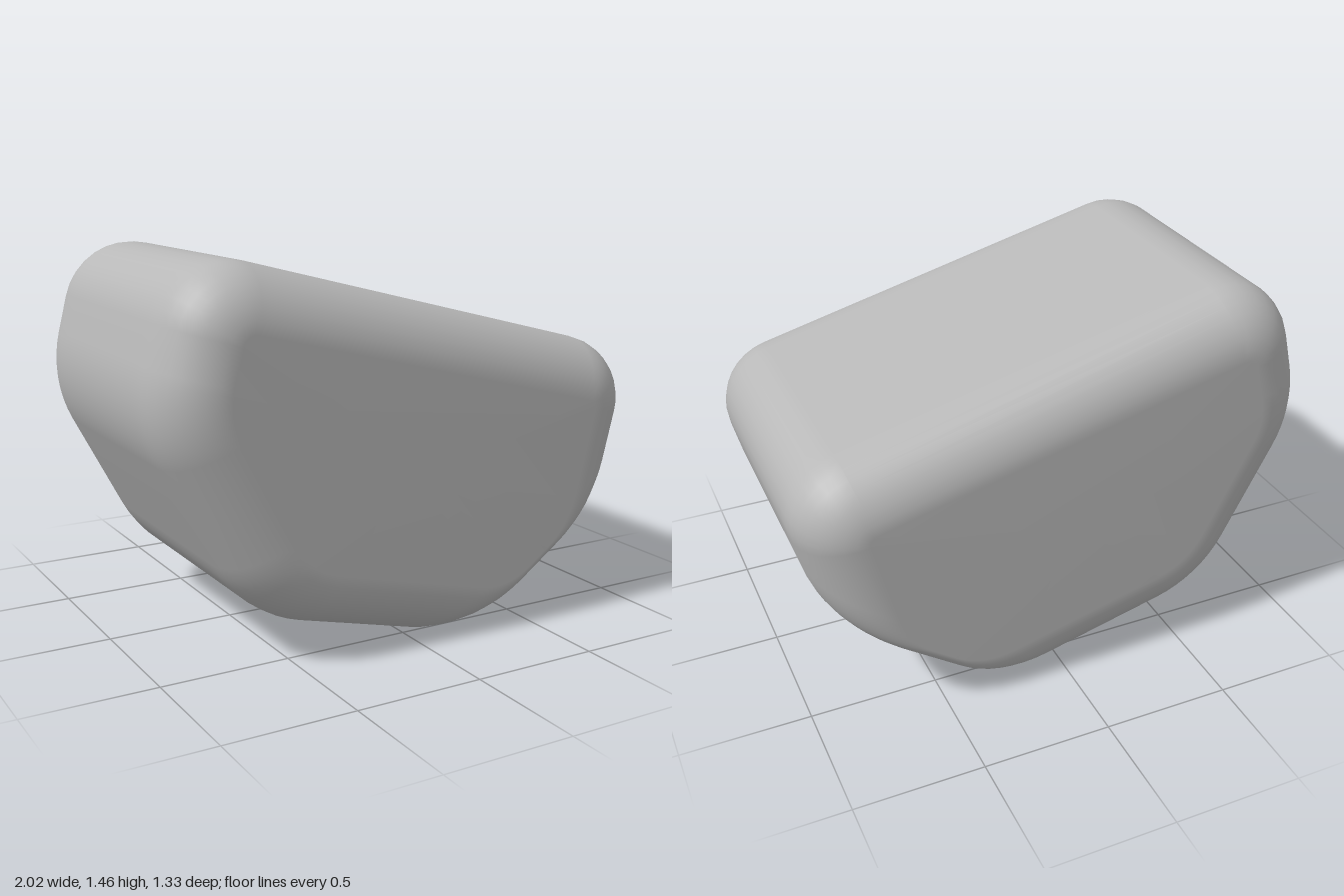
import * as THREE from 'three';
import { mergeVertices } from 'three/addons/utils/BufferGeometryUtils.js';

const DEG = Math.PI / 180;
const FLAT_Z = 0.437, FILLET = 0.23;      // half length of the straight sides, depth of the end rounding
const ARC = 8, STEPS = 12;
const HOLE = { v: 0.228, r: 0.122, floor: -0.6 };

// Sides of the cross-section: outward angle, distance from origin, inset of its end rounding
const SIDES = [
  { a: 90, d: 1.254, w: 0.23 },           // top
  { a: 180, d: 1.24, w: 0.23 },           // left
  { a: 221.55, d: 0.501, w: 0.23 },       // lower left
  { a: 270, d: -0.015, w: 0.23 },         // bottom
  { a: 319.83, d: 0.163, w: 0.08 },       // lower right, with the hole
  { a: 360, d: 0.775, w: 0.23 },          // right
];
const RADII = [0.27, 0.5, 0.5, 0.5, 0.55, 0.25]; // corner after each side

// Rounded cross-section, k = 0 full size, k = 1 fully inset
function section(k) {
  const pts = [];
  SIDES.forEach((s, i) => {
    const n = SIDES[(i + 1) % SIDES.length];
    const a0 = s.a * DEG, a1 = (n.a + (n.a < s.a ? 360 : 0)) * DEG;
    const r = RADII[i] - 0.22 * k;
    const d0 = s.d - s.w * k - r, d1 = n.d - n.w * k - r;
    const det = Math.sin(a1 - a0);
    const cx = (d0 * Math.sin(a1) - d1 * Math.sin(a0)) / det;
    const cy = (d1 * Math.cos(a0) - d0 * Math.cos(a1)) / det;
    for (let j = 0; j <= ARC; j++) {
      const a = a0 + (a1 - a0) * j / ARC;
      pts.push([cx + r * Math.cos(a), cy + r * Math.sin(a)]);
    }
  });
  return pts;
}

function makeGeometry(pos, idx) {
  let g = new THREE.BufferGeometry();
  g.setAttribute('position', new THREE.Float32BufferAttribute(pos, 3));
  g.setIndex(idx);
  g = mergeVertices(g, 1e-4);
  g.computeVertexNormals();
  return g;
}

// Joins closed rings of points, listed from the inside of the opening outwards
function joinRings(rings, pos, idx) {
  const base = pos.length / 3, n = rings[0].length;
  rings.forEach(r => r.forEach(p => pos.push(...p)));
  for (let i = 0; i < rings.length - 1; i++) {
    for (let k = 0; k < n; k++) {
      const a = base + i * n + k, b = base + i * n + (k + 1) % n;
      idx.push(a, a + n, b + n, a, b + n, b);
    }
  }
}

export function createModel() {
  const group = new THREE.Group();
  const grey = new THREE.MeshStandardMaterial({ color: 0xb8b8b8 });
  grey.name = 'grey';

  // Stations along z: rounded back, straight middle, rounded front
  const stations = [];
  for (let i = 0; i <= ARC; i++) {
    const t = (1 - i / ARC) * Math.PI / 2;
    stations.push({ z: -FLAT_Z - FILLET * Math.sin(t), k: 1 - Math.cos(t) });
  }
  for (let i = 1; i < STEPS; i++) stations.push({ z: -FLAT_Z + 2 * FLAT_Z * i / STEPS, k: 0 });
  for (let i = 0; i <= ARC; i++) {
    const t = i / ARC * Math.PI / 2;
    stations.push({ z: FLAT_Z + FILLET * Math.sin(t), k: 1 - Math.cos(t) });
  }

  // Body skin, leaving a window in the lower right side for the hole
  const pos = [], idx = [];
  const n = SIDES.length * (ARC + 1);
  const winA = 3 * (ARC + 1) + 3, winB = 4 * (ARC + 1);
  stations.forEach(s => section(s.k).forEach(p => pos.push(p[0], p[1], s.z)));
  for (let i = 0; i < stations.length - 1; i++) {
    for (let j = 0; j < n; j++) {
      if (i >= ARC && i < ARC + STEPS && j >= winA && j < winB) continue;
      const a = i * n + j, b = i * n + (j + 1) % n;
      idx.push(a, b, b + n, a, b + n, a + n);
    }
  }
  // Flat ends
  const last = (stations.length - 1) * n, mid = pos.length / 3;
  pos.push(-0.2, 0.65, stations[0].z, -0.2, 0.65, stations[stations.length - 1].z);
  for (let j = 0; j < n; j++) {
    const j1 = (j + 1) % n;
    idx.push(mid, j1, j, mid + 1, last + j, last + j1);
  }

  // Panel that fills the window around the round hole
  const profile = section(0).slice(winA, winB + 1);
  const surfaceU = v => {
    let i = 0;
    while (i < profile.length - 2 && v > profile[i + 1][1]) i++;
    const [p, q] = [profile[i], profile[i + 1]];
    return p[0] + (q[0] - p[0]) * (v - p[1]) / (q[1] - p[1]);
  };
  const vs = profile.map(p => p[1]), vTop = vs[vs.length - 1];
  const rim = vs.map(v => [-FLAT_Z, v]);
  for (let i = 1; i < STEPS; i++) rim.push([-FLAT_Z + 2 * FLAT_Z * i / STEPS, vTop]);
  [...vs].reverse().forEach(v => rim.push([FLAT_Z, v]));
  for (let i = 1; i < STEPS; i++) rim.push([FLAT_Z - 2 * FLAT_Z * i / STEPS, vs[0]]);
  const circle = rim.map(([z, v]) => {
    const l = Math.hypot(z, v - HOLE.v);
    return [z / l * HOLE.r, HOLE.v + (v - HOLE.v) / l * HOLE.r];
  });
  const rings = [];
  for (let i = 0; i <= 6; i++) {
    rings.push(rim.map(([z, v], k) => {
      const vv = THREE.MathUtils.lerp(circle[k][1], v, i / 6);
      return [surfaceU(vv), vv, THREE.MathUtils.lerp(circle[k][0], z, i / 6)];
    }));
  }
  joinRings(rings, pos, idx);
  const body = new THREE.Mesh(makeGeometry(pos, idx), grey);
  body.name = 'body';

  // Wall of the hole
  const wallPos = [], wallIdx = [];
  const deep = circle.map(([z, v]) => [HOLE.floor, v, z]);
  joinRings([deep, rings[0]], wallPos, wallIdx);
  const wall = new THREE.Mesh(makeGeometry(wallPos, wallIdx), grey);
  wall.name = 'holeWall';

  // Floor of the hole
  const floor = new THREE.Mesh(new THREE.CircleGeometry(HOLE.r, 32), grey);
  floor.name = 'holeFloor';
  floor.rotation.y = Math.PI / 2;
  floor.position.set(HOLE.floor, HOLE.v, 0);

  // The whole block leans down towards +x
  const block = new THREE.Group();
  block.name = 'tiltedBlock';
  block.add(body, wall, floor);
  block.rotation.z = -14.3 * DEG;
  group.add(block);
  return group;
}
